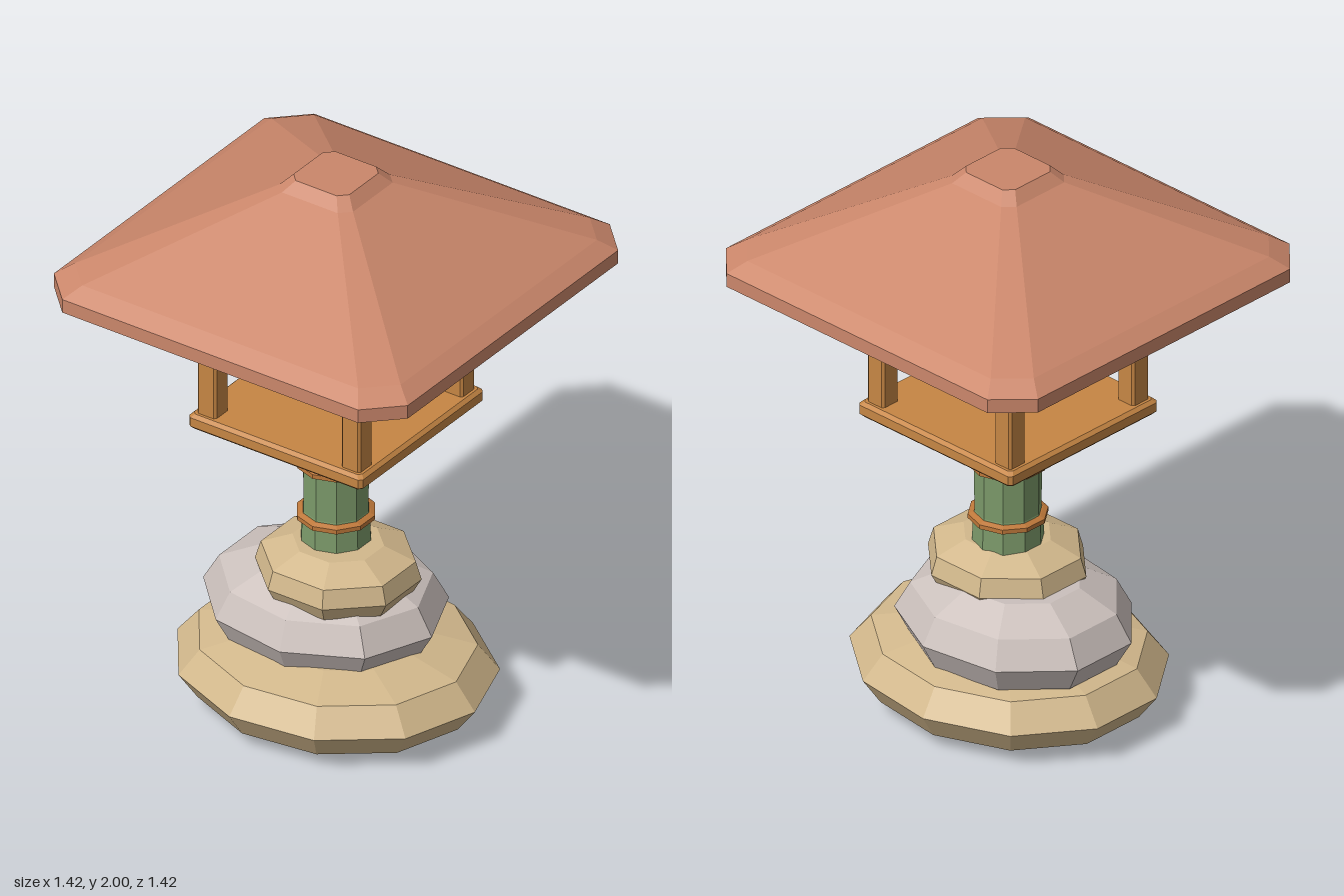
import * as THREE from 'three';

const mat = (name, color) => {
  const m = new THREE.MeshStandardMaterial({ color });
  m.name = name;
  return m;
};

// Closed solid skinned over horizontal rings of [x, y, z] points (bottom to top), faceted
function loft(rings) {
  const pos = [];
  const tri = (a, b, c) => pos.push(...a, ...b, ...c);
  const n = rings[0].length;
  const middle = (ring) => [0, 1, 2].map((k) => ring.reduce((s, p) => s + p[k], 0) / n);
  const low = rings[0], high = rings[rings.length - 1];
  const lowMid = middle(low), highMid = middle(high);
  for (let i = 0; i < n; i++) {
    const j = (i + 1) % n;
    for (let r = 0; r + 1 < rings.length; r++) {
      const a = rings[r], b = rings[r + 1];
      tri(a[i], b[i], a[j]);
      tri(a[j], b[i], b[j]);
    }
    tri(lowMid, low[i], low[j]);
    tri(highMid, high[j], high[i]);
  }
  const geo = new THREE.BufferGeometry();
  geo.setAttribute('position', new THREE.Float32BufferAttribute(pos, 3));
  geo.computeVertexNormals();
  return geo;
}

// Square ring with cut corners: half width h, corner cut begins at c
const cutSquare = (y, h, c) =>
  [[h, -c], [h, c], [c, h], [-c, h], [-h, c], [-h, -c], [-c, -h], [c, -h]].map(([x, z]) => [x, y, z]);

// Elliptical ring with n sides
const ellipse = (n, y, rx, rz, start = 0) =>
  Array.from({ length: n }, (_, i) => {
    const a = start + (i / n) * Math.PI * 2;
    return [rx * Math.cos(a), y, rz * Math.sin(a)];
  });

// Square block with bevelled edges
const bevelBlock = (y0, y1, h, b) => loft([
  cutSquare(y0, h - b, h - 2 * b), cutSquare(y0 + b, h, h - b),
  cutSquare(y1 - b, h, h - b), cutSquare(y1, h - b, h - 2 * b),
]);

export function createModel() {
  const model = new THREE.Group();
  const tan = mat('tan stone', 0xd2b88c);
  const grey = mat('grey stone', 0xcbc0bc);
  const green = mat('green stem', 0x7c9a6a);
  const wood = mat('honey wood', 0xc68644);
  const band = mat('dark wood', 0xbe783a);
  const clay = mat('clay roof', 0xcb876b);

  const add = (name, geo, material, x = 0, z = 0) => {
    const mesh = new THREE.Mesh(geo, material);
    mesh.name = name;
    mesh.position.set(x, 0, z);
    model.add(mesh);
  };

  // Stacked stones: each profile is [height, fraction of full radius]
  const stone = (name, material, sides, start, x, z, rx, rz, profile) =>
    add(name, loft(profile.map(([y, f]) => ellipse(sides, y, rx * f, rz * f, start))), material, x, z);
  stone('bottomStone', tan, 11, 0, 0.013, 0.02, 0.56, 0.495,
    [[0, 0.66], [0.05, 0.88], [0.14, 1], [0.23, 0.865], [0.27, 0.55]]);
  stone('middleStone', grey, 9, 0, -0.053, -0.015, 0.428, 0.37,
    [[0.21, 0.66], [0.245, 0.87], [0.34, 1], [0.435, 0.87], [0.5, 0.55]]);
  stone('topStone', tan, 8, Math.PI / 8, 0.025, 0.022, 0.285, 0.265,
    [[0.41, 0.68], [0.445, 0.89], [0.5, 1], [0.565, 0.93], [0.61, 0.55]]);

  // Jointed stem with two bands
  const round = (profile) => loft(profile.map(([y, r]) => ellipse(10, y, r, r, Math.PI / 10)));
  add('stem', round([[0.58, 0.121], [0.7, 0.117], [0.72, 0.112], [0.88, 0.113],
    [0.9, 0.115], [0.92, 0.108], [1.08, 0.115]]), green);
  for (const y of [0.7, 0.9]) {
    add('stemBand', round([[y - 0.015, 0.118], [y - 0.008, 0.134], [y + 0.008, 0.134], [y + 0.015, 0.118]]), band);
  }

  // Open lantern frame
  add('lowerPlate', bevelBlock(1.07, 1.127, 0.35, 0.012), wood);
  add('upperPlate', bevelBlock(1.53, 1.587, 0.35, 0.012), wood);
  for (const x of [-0.29, 0.29]) {
    for (const z of [-0.29, 0.29]) add('cornerPost', bevelBlock(1.115, 1.54, 0.038, 0.008), wood, x, z);
  }

  // Flared roof with cut corners
  add('roof', loft([
    cutSquare(1.585, 0.65, 0.56), cutSquare(1.61, 0.712, 0.595), cutSquare(1.66, 0.712, 0.595),
    cutSquare(1.7, 0.655, 0.555), cutSquare(1.962, 0.148, 0.112), cutSquare(2, 0.112, 0.082),
  ]), clay);

  return model;
}
